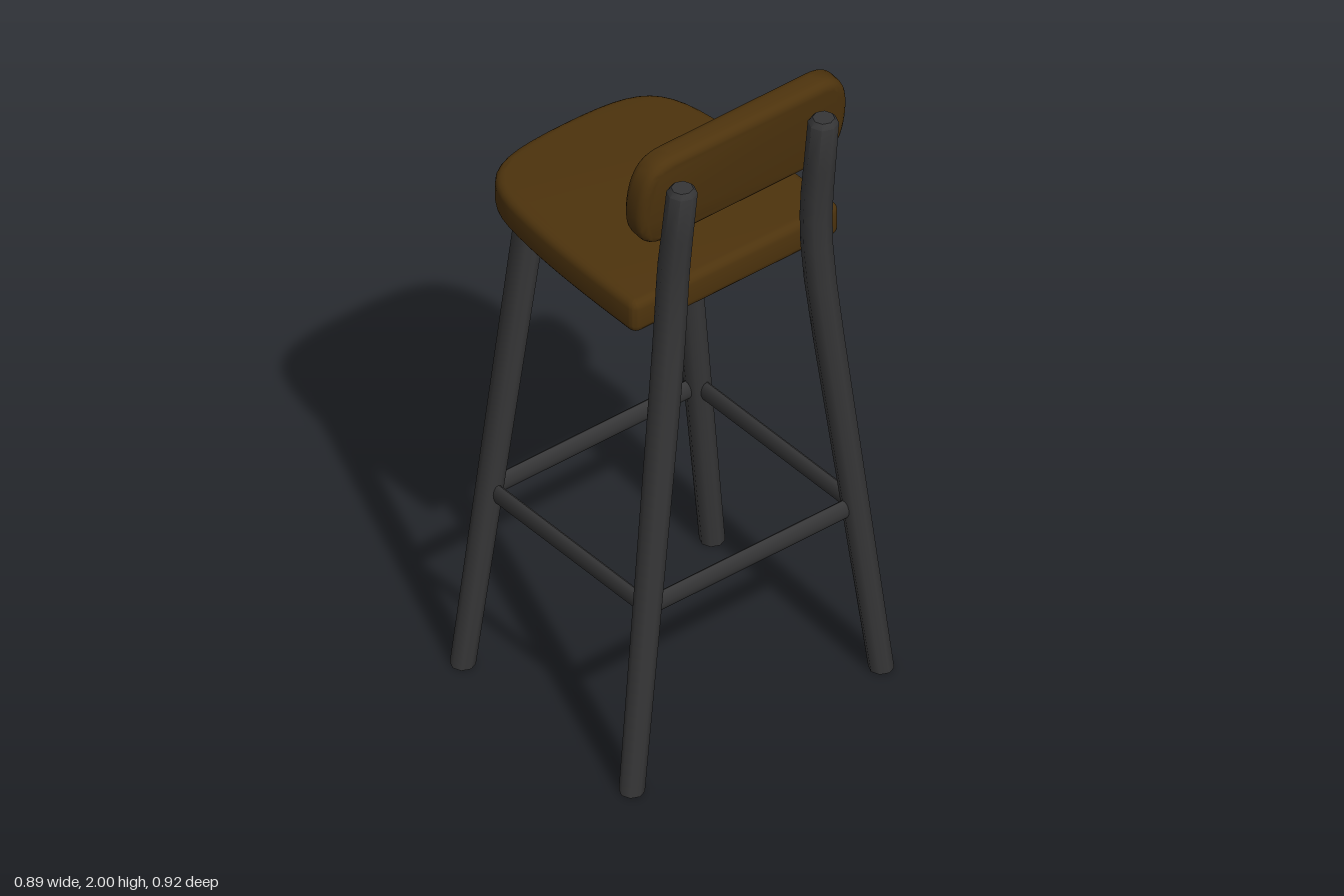
import * as THREE from 'three';
import { toCreasedNormals } from 'three/addons/utils/BufferGeometryUtils.js';

const wood = new THREE.MeshStandardMaterial({ color: 0x4d330d });
wood.name = 'dark brown wood';
const metal = new THREE.MeshStandardMaterial({ color: 0x363637 });
metal.name = 'charcoal frame';

const SIDES = 8;
const MID_Z = -0.021; // seat and backrest sit slightly off centre

function addMesh(parent, name, geometry, material) {
  const mesh = new THREE.Mesh(toCreasedNormals(geometry, 0.85), material);
  mesh.name = name;
  parent.add(mesh);
  return mesh;
}

// Tapered round bar through level stations [y, x, z, radius], listed bottom to top
function legGeometry(stations, side) {
  const n = stations.length - 1;
  const geo = new THREE.CylinderGeometry(1, 1, 1, SIDES, n);
  const p = geo.attributes.position;
  for (let i = 0; i < p.count; i++) {
    const [y, x, z, r] = stations[Math.round((p.getY(i) + 0.5) * n)];
    p.setXYZ(i, x + p.getX(i) * r, y, side * z + p.getZ(i) * r);
  }
  return geo;
}

// Flattened oval rail between two points
function addRail(parent, name, a, b) {
  const length = a.distanceTo(b);
  const geo = new THREE.CylinderGeometry(1, 1, length, 12);
  geo.rotateX(Math.PI / 2);
  geo.scale(0.014, 0.031, 1);
  const rail = addMesh(parent, name, geo, metal);
  rail.position.copy(a).add(b).multiplyScalar(0.5);
  rail.lookAt(b);
}

// Plate with rounded edges: the bevel grows back out to the drawn outline
function paddedPlate(shape, thickness, bevel) {
  const geo = new THREE.ExtrudeGeometry(shape, {
    depth: thickness - 2 * bevel, bevelThickness: bevel, bevelSize: bevel,
    bevelOffset: -bevel, bevelSegments: 4, curveSegments: 10,
  });
  geo.translate(0, 0, bevel - thickness / 2);
  return geo;
}

export function createModel() {
  const stool = new THREE.Group();
  stool.name = 'barStool';

  // Seat: square at the back, broad rounded nose toward -x
  const s = new THREE.Shape();
  s.moveTo(0.27, -0.355);
  s.bezierCurveTo(0.05, -0.356, -0.12, -0.35, -0.26, -0.328);
  s.bezierCurveTo(-0.42, -0.3, -0.445, -0.22, -0.445, 0);
  s.bezierCurveTo(-0.445, 0.22, -0.42, 0.3, -0.26, 0.328);
  s.bezierCurveTo(-0.12, 0.35, 0.05, 0.356, 0.27, 0.355);
  s.quadraticCurveTo(0.302, 0.355, 0.302, 0.323);
  s.lineTo(0.302, -0.323);
  s.quadraticCurveTo(0.302, -0.355, 0.27, -0.355);
  const seatGeo = paddedPlate(s, 0.105, 0.025);
  seatGeo.rotateX(-Math.PI / 2);
  addMesh(stool, 'seat', seatGeo, wood).position.set(0, 1.47, MID_Z);

  // Backrest: rounded panel with softly bowed ends, leaning back
  const b = new THREE.Shape();
  const w = 0.355, h = 0.15;
  b.moveTo(-0.25, -h);
  b.lineTo(0.25, -h);
  b.bezierCurveTo(0.325, -h, w, -0.1, w, 0);
  b.bezierCurveTo(w, 0.1, 0.325, h, 0.25, h);
  b.lineTo(-0.25, h);
  b.bezierCurveTo(-0.325, h, -w, 0.1, -w, 0);
  b.bezierCurveTo(-w, -0.1, -0.325, -h, -0.25, -h);
  const backGeo = paddedPlate(b, 0.08, 0.025);
  backGeo.rotateY(Math.PI / 2);
  backGeo.rotateZ(-0.13);
  addMesh(stool, 'backrest', backGeo, wood).position.set(0.293, 1.85, MID_Z);

  // Legs: seat legs are straight, back posts bend upright and carry the backrest
  const seatLeg = [
    [0, -0.307, 0.427, 0.035],
    [1.44, -0.243, 0.25, 0.043],
  ];
  const backPost = [
    [0, 0.407, 0.427, 0.035],
    [1.15, 0.362, 0.284, 0.043],
    [1.35, 0.355, 0.261, 0.044],
    [1.48, 0.353, 0.25, 0.044],
    [1.58, 0.355, 0.246, 0.044],
    [1.66, 0.361, 0.245, 0.044],
    [1.76, 0.373, 0.244, 0.043],
    [1.915, 0.391, 0.242, 0.042],
    [1.93, 0.392, 0.242, 0.03],
  ];
  for (const side of [-1, 1]) {
    const label = side > 0 ? 'Near' : 'Far';
    addMesh(stool, 'seatLeg' + label, legGeometry(seatLeg, side), metal);
    addMesh(stool, 'backPost' + label, legGeometry(backPost, side), metal);
  }

  // Footrest ring: four rails joining the leg centres
  const y = 0.57, xa = -0.282, xb = 0.385, z = 0.356;
  const corners = [[xa, z], [xb, z], [xb, -z], [xa, -z]].map(([x, zz]) => new THREE.Vector3(x, y, zz));
  corners.forEach((c, i) => addRail(stool, 'footRail' + (i + 1), c, corners[(i + 1) % 4]));

  return stool;
}
